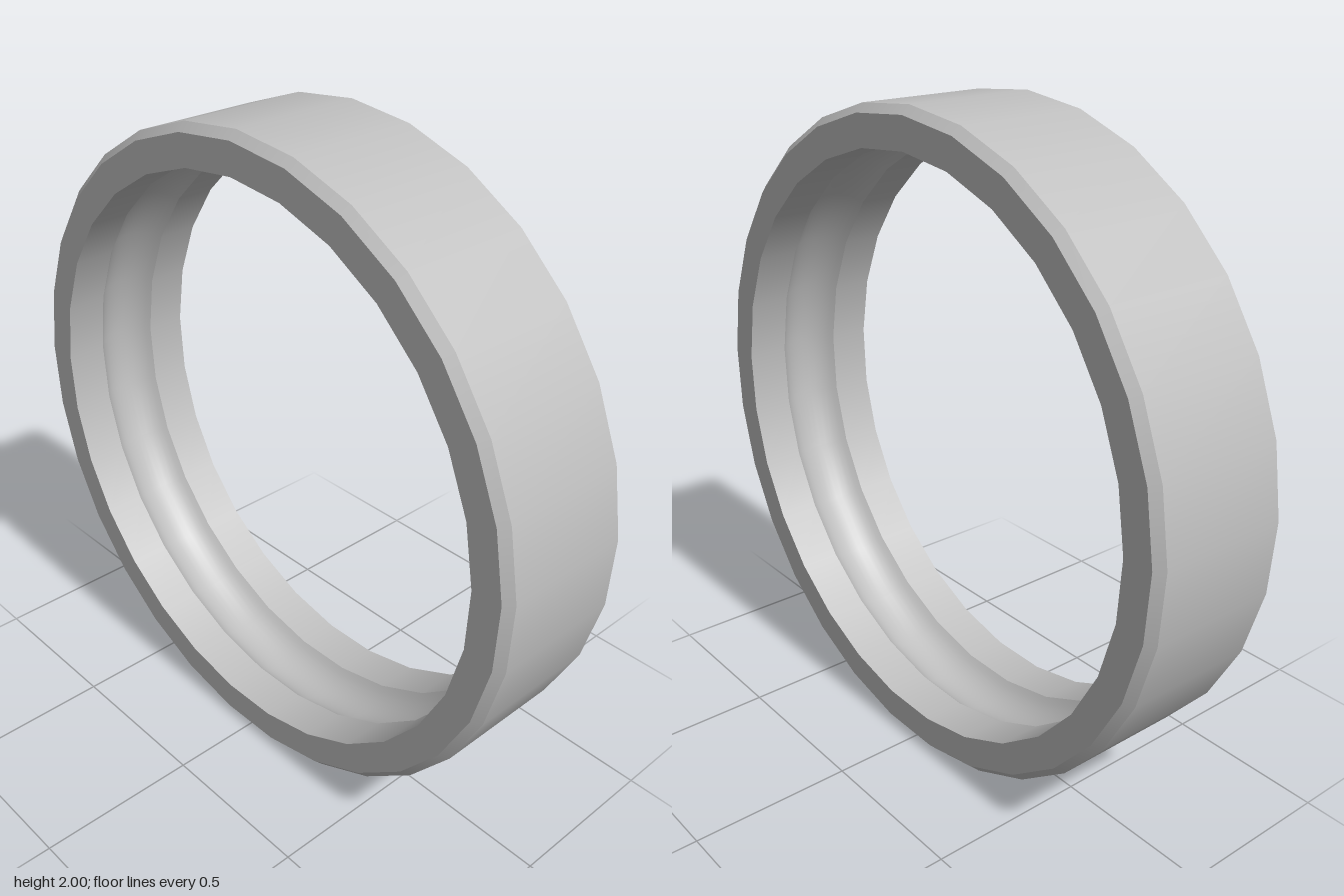
import * as THREE from 'three';

const SIDES = 29;
const HALF = 0.23, OUTER = 1, INNER = 0.88, CHAMFER = 0.025;
const GROOVE = 0.1, DEPTH = 0.05;

export function createModel() {
  const steel = new THREE.MeshStandardMaterial({ color: 0xc0c0c0 });
  steel.name = 'steel grey';
  const ring = new THREE.Group();
  ring.name = 'bearingRing';

  // each band is revolved separately so the edges between bands stay sharp
  const band = (name, profile) => {
    const points = profile.map(([r, x]) => new THREE.Vector2(r, x));
    const geo = new THREE.LatheGeometry(points, SIDES, -Math.PI / 2 - 0.012);
    geo.rotateZ(-Math.PI / 2);
    const mesh = new THREE.Mesh(geo, steel);
    mesh.name = name;
    mesh.position.y = 1;
    ring.add(mesh);
  };

  const shoulder = HALF - CHAMFER, rim = OUTER - CHAMFER;
  band('outerSurface', [[OUTER, -shoulder], [OUTER, shoulder]]);
  band('leftChamfer', [[OUTER, shoulder], [rim, HALF]]);
  band('leftFace', [[rim, HALF], [INNER, HALF]]);
  band('leftLand', [[INNER, HALF], [INNER, GROOVE]]);

  // ball groove: circular arc sunk into the inner wall
  const radius = (GROOVE * GROOVE + DEPTH * DEPTH) / (2 * DEPTH);
  const sweep = Math.asin(GROOVE / radius);
  const arc = [];
  for (let i = 0; i <= 12; i++) {
    const a = sweep * (1 - i / 6);
    arc.push([INNER + DEPTH - radius + radius * Math.cos(a), radius * Math.sin(a)]);
  }
  band('ballGroove', arc);

  band('rightLand', [[INNER, -GROOVE], [INNER, -HALF]]);
  band('rightFace', [[INNER, -HALF], [rim, -HALF]]);
  band('rightChamfer', [[rim, -HALF], [OUTER, -shoulder]]);
  return ring;
}
